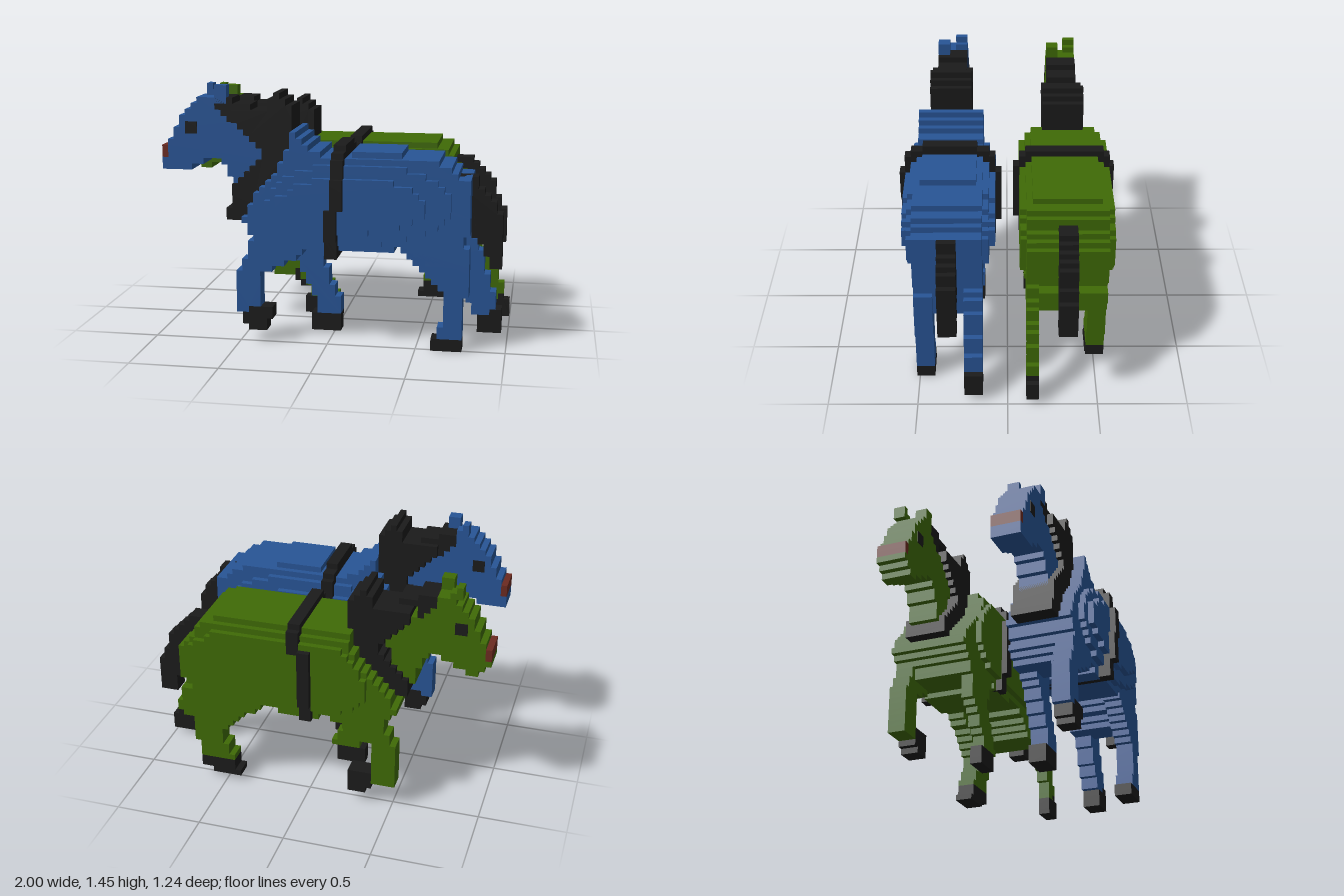
import * as THREE from 'three';

const VOXEL = 1 / 29;

const material = (name, color) => {
  const m = new THREE.MeshStandardMaterial({ color });
  m.name = name;
  return m;
};

// Stepped slab: rows are [row, xMin, xMax] keys, filled in between and snapped to the grid.
function steppedShape(keys) {
  const left = [], right = [];
  const addRow = (y, a, b) => {
    left.push(new THREE.Vector2(a, y), new THREE.Vector2(a, y + 1));
    right.push(new THREE.Vector2(b, y), new THREE.Vector2(b, y + 1));
  };
  keys.forEach(([y, a, b], i) => {
    const next = keys[i + 1];
    if (!next) return addRow(y, a, b);
    for (let r = y; r < next[0]; r++) {
      const t = (r - y) / (next[0] - y);
      addRow(r, Math.round(a + (next[1] - a) * t), Math.round(b + (next[2] - b) * t));
    }
  });
  return new THREE.Shape([...right, ...left.reverse()]);
}

// side = 1 puts the horse at +z, side = -1 mirrors it to -z; w is the distance from the middle.
function makeHorse(name, side, coat, dark, nose) {
  const horse = new THREE.Group();
  horse.name = name;
  const slab = (part, mat, w0, w1, keys, dx = 0, dy = 0) => {
    const geo = new THREE.ExtrudeGeometry(steppedShape(keys), { depth: w1 - w0, bevelEnabled: false });
    geo.translate(dx, dy, side > 0 ? w0 : -w1);
    const mesh = new THREE.Mesh(geo, mat);
    mesh.name = part;
    horse.add(mesh);
  };

  // Head and neck, placed at an offset so each horse can carry it differently
  const hx = side > 0 ? 0 : -1, hy = side > 0 ? 0 : -2;
  slab('head', coat, 7, 12, [[30, -27, -11], [31, -27, -11], [32, -27, -12], [33, -26, -13], [34, -26, -14],
    [35, -25, -15], [36, -25, -17], [37, -24, -18], [38, -23, -19], [39, -22, -19]], hx, hy);
  slab('neck', coat, 7, 12, [[24, -16, -12], [26, -16, -12], [27, -17, -12], [28, -17, -12], [29, -18, -12]], hx, hy);
  slab('nose', nose, 7, 12, [[30, -28, -27], [31, -28, -27]], hx, hy);
  for (const w of [6.9, 12]) slab('eye', dark, w, w + 0.1, [[34, -24, -22], [35, -24, -22]], hx, hy);
  const ex = side > 0 ? 0 : -3;
  const [rearEar, frontEar] = side > 0 ? [10, 7] : [7, 10];
  slab('frontEar', coat, frontEar, frontEar + 2, [[40, -21, -19], [41, -21, -20]], ex, hy);
  slab('rearEar', coat, rearEar, rearEar + 2, [[39, -19, -17], [41, -19, -17]], ex, hy);

  // Mane and collar
  slab('mane', dark, 7, 12, [[36, -17, -16], [37, -18, -16], [38, -19, -13], [39, -19, -16]], hx, hy);
  const collar = [[23, -16, -12], [24, -16, -12], [25, -16, -11], [26, -15, -9], [28, -13, -8],
    [30, -11, -7], [32, -12, -6], [34, -14, -6], [35, -15, -6], [36, -16, -6], [37, -16, -6],
    [38, -10, -6], [39, -10, -7], [40, -9, -8]];
  slab('collar', dark, 6, 13, side > 0 ? [[20, -17, -14], ...collar] : collar, 0, side > 0 ? 0 : -3);

  // Girth strap: nested rings around the body
  const sx = side > 0 ? 0 : -1;
  const bend = side > 0 ? 1 : -1;
  slab('strapSide', dark, 1, 18, [[18, sx, sx + 2], [22, sx, sx + 2], [23, bend, bend + 2], [27, bend, bend + 2]]);
  slab('strapBottom', dark, 1.95, 17.05, [[15, sx, sx + 2], [18, sx, sx + 2]]);
  slab('strapShoulder', dark, 1.95, 17.05, [[27, 1, 3], [30, 1, 3]]);
  slab('strapTop', dark, 3, 16, [[30, 1, 3], [31, 1, 3]]);

  if (side > 0) {
    slab('muzzle', coat, 7, 12, [[28, -28, -23], [29, -28, -21]]);
    // Body with two stepped flank bulges, sloping back behind the collar
    slab('body', coat, 4, 15, [[15, -2, 1], [16, -9, 11], [17, -12, 22], [20, -14, 23], [22, -13, 23], [24, -12, 23],
      [26, -10, 23], [27, -9, 23], [28, -8, 21], [29, -8, 20], [30, -7, 18], [31, -7, -1], [32, -6, -3],
      [33, -6, -4], [34, -6, -5]]);
    slab('flank', coat, 3, 16, [[17, -4, 9], [18, -7, 13], [19, -8, 16], [21, -10, 19], [23, -10, 20],
      [25, -9, 20], [27, -7, 18], [28, -5, 16], [29, -2, 13]]);
    slab('innerFlank', coat, 2, 17, [[19, -3, 7], [20, -6, 12], [21, -8, 14], [22, -8, 16], [24, -8, 16],
      [26, -5, 14], [27, -2, 11]]);
    slab('saddle', coat, 5, 14, [[31, 4, 12]]);
    slab('strapRidge', dark, 5, 14, [[32, 1, 3]]);
    slab('chest', coat, 4, 15, [[14, -11, -5], [16, -13, -3]]);
    slab('haunches', coat, 4, 15, [[13, 17, 22], [16, 13, 22]]);
    // Legs
    slab('plantedFrontLeg', coat, 4, 7, [[3, -3, 1], [5, -3, 1], [6, -4, 0], [9, -5, -1], [12, -7, -2], [17, -12, -2]]);
    slab('plantedFrontHoof', dark, 4, 7, [[0, -4, 1], [2, -4, 1]]);
    slab('raisedFrontLeg', coat, 12, 15, [[5, -15, -13], [6, -15, -11], [11, -15, -11], [13, -14, -7], [17, -12, -2]]);
    slab('raisedFrontHoof', dark, 12, 15, [[2, -13, -10], [3, -14, -10], [4, -14, -9], [5, -13, -9]]);
    slab('outerHindLeg', coat, 12, 15, [[2, 18, 22], [3, 18, 22], [4, 19, 22], [8, 19, 22], [10, 18, 23], [12, 16, 23], [16, 12, 23]]);
    slab('outerHindHoof', dark, 12, 15, [[0, 17, 22], [1, 17, 22]]);
    slab('innerHindLeg', coat, 4, 7, [[4, 23, 26], [5, 23, 27], [6, 22, 27], [8, 21, 26], [13, 20, 25], [17, 14, 23]]);
    slab('innerHindHoof', dark, 4, 7, [[1, 24, 28], [3, 24, 28], [4, 26, 28]]);
    slab('tail', dark, 8, 11, [[13, 26, 28], [15, 25, 28], [17, 24, 28], [18, 23, 28], [21, 23, 28], [22, 23, 27],
      [24, 23, 26], [25, 22, 25], [26, 22, 24], [27, 21, 24]]);
  } else {
    slab('muzzle', coat, 7, 12, [[25, -27, -25], [26, -28, -23], [27, -29, -21]]);
    // Broader body with one flat flank
    slab('body', coat, 3, 16, [[15, -2, 5], [16, -9, 10], [17, -14, 20], [18, -15, 21], [20, -14, 22], [22, -12, 22],
      [23, -11, 22], [25, -9, 21], [27, -8, 19], [29, -7, 18]]);
    slab('back', coat, 4, 15, [[30, -7, 16]]);
    slab('flank', coat, 2, 17, [[17, -6, 15], [18, -8, 17], [20, -10, 19], [22, -10, 20], [25, -9, 20], [28, -6, 16]]);
    slab('chest', coat, 3, 16, [[14, -12, -6], [16, -13, -3]]);
    slab('haunches', coat, 3, 16, [[12, 14, 20], [16, 9, 22]]);
    // Legs
    slab('plantedFrontLeg', coat, 3, 5, [[3, -6, -1], [4, -6, -2], [6, -8, -3], [8, -9, -4], [10, -11, -5], [13, -11, -4], [17, -13, -2]]);
    slab('plantedFrontHoof', dark, 3, 5, [[0, -7, -2], [2, -7, -2]]);
    slab('raisedFrontLeg', coat, 13, 16, [[4, -15, -11], [6, -15, -11], [11, -15, -11], [13, -14, -7], [17, -12, -2]]);
    slab('raisedFrontHoof', dark, 13, 16, [[2, -10, -7], [3, -11, -7], [5, -11, -7]]);
    slab('outerHindLeg', coat, 13, 16, [[4, 13, 19], [5, 14, 19], [9, 15, 20], [12, 12, 20], [15, 8, 20], [17, 8, 20]]);
    slab('outerHindHoof', dark, 13, 16, [[1, 12, 17], [2, 13, 19], [3, 13, 19]]);
    slab('innerHindLeg', coat, 3, 5, [[4, 25, 27], [5, 25, 28], [8, 24, 27], [11, 21, 26], [16, 15, 22], [17, 14, 22]]);
    slab('innerHindHoof', dark, 3, 5, [[1, 25, 29], [3, 25, 29], [4, 27, 28]]);
    slab('tail', dark, 8, 11, [[13, 25, 28], [17, 24, 28], [19, 23, 27], [22, 22, 26], [24, 21, 25], [26, 20, 23], [27, 19, 22]]);
  }
  return horse;
}

export function createModel() {
  const model = new THREE.Group();
  model.name = 'pairOfHorses';
  const dark = material('charcoal', 0x1b1b1b);
  const nose = material('brown', 0x6c2a20);
  model.add(
    makeHorse('blueHorse', 1, material('blue', 0x285596), dark, nose),
    makeHorse('greenHorse', -1, material('green', 0x3f6a06), dark, nose),
  );
  model.scale.setScalar(VOXEL);
  return model;
}
